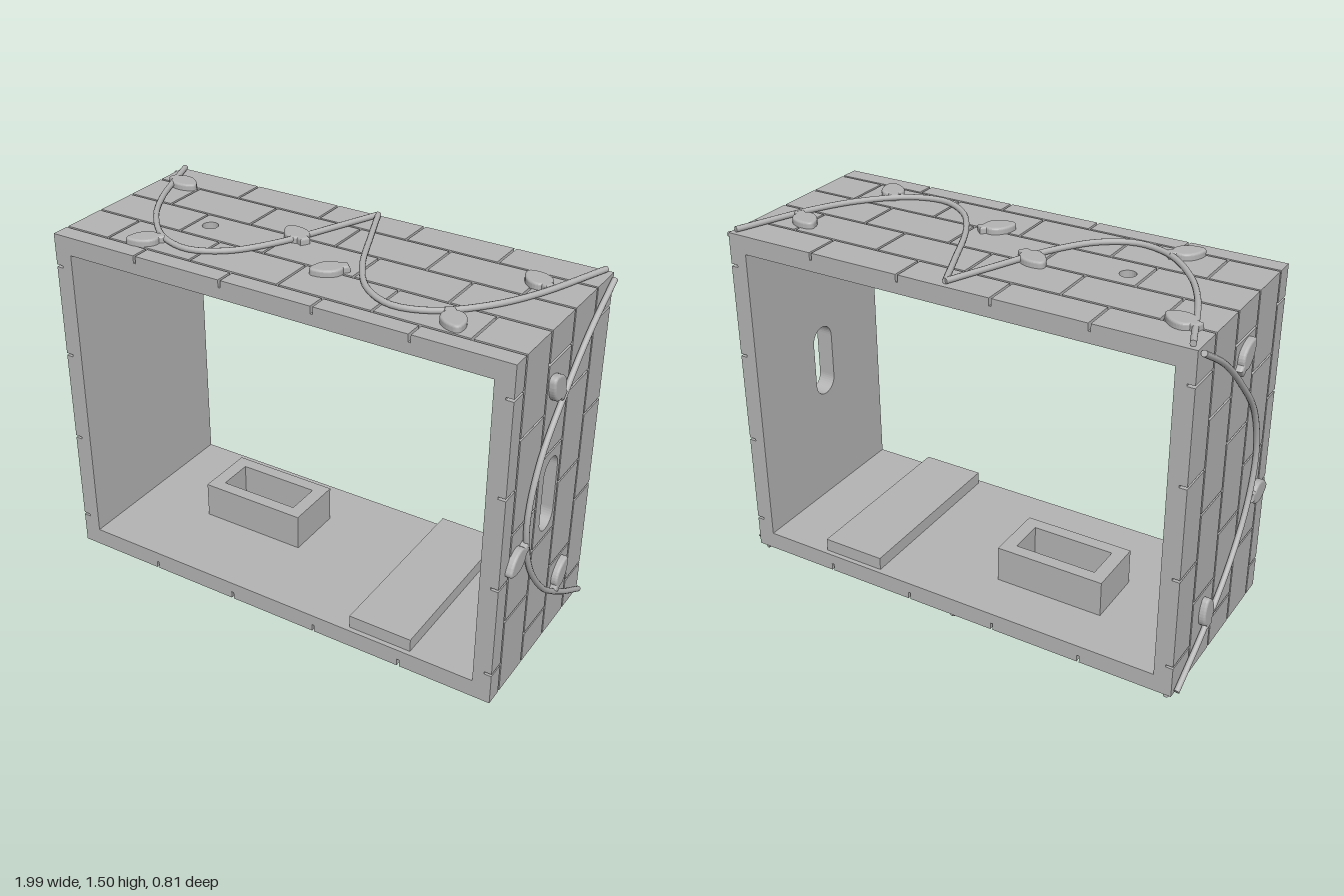
import * as THREE from 'three';

const stone = new THREE.MeshStandardMaterial({ color: 0xb4b4b4 });
stone.name = 'plain grey';

const W = 0.97, D = 0.405, Y0 = 0.035, Y1 = 1.47; // outer shell
const GROOVE = 0.03, WALL = 0.075, GAP = 0.005;
const ROWS = [-D, -0.256, -0.063, 0.13, 0.327, D]; // brick courses across the depth

function add(parent, geometry, name) {
  const mesh = new THREE.Mesh(geometry, stone);
  mesh.name = name;
  parent.add(mesh);
  return mesh;
}

function rect(Type, u0, u1, v0, v1) {
  return new Type([[u0, v0], [u1, v0], [u1, v1], [u0, v1]].map(p => new THREE.Vector2(...p)));
}

function disc(Type, u, v, r) {
  const s = new Type();
  s.absarc(u, v, r, 0, Math.PI * 2, false);
  return s;
}

// Extrude a shape from depth w0 to w1 along the face's outward direction
function extrude(parent, shape, w0, w1, name, curveSegments = 16) {
  const g = new THREE.ExtrudeGeometry(shape, { depth: w1 - w0, bevelEnabled: false, curveSegments });
  g.translate(0, 0, w0);
  return add(parent, g, name);
}

// Block given by its extent along the wall (a), across the depth (z) and outward (w)
function block(face, a0, a1, z0, z1, w0, w1, name, hole) {
  const [pu, pv] = face.map(a0, z0), [qu, qv] = face.map(a1, z1);
  const u0 = Math.min(pu, qu), u1 = Math.max(pu, qu), v0 = Math.min(pv, qv), v1 = Math.max(pv, qv);
  const shape = rect(THREE.Shape, u0, u1, v0, v1);
  if (hole) shape.holes.push(hole);
  extrude(face.group, shape, w0, w1, name, 10);
}

// Same block with a rectangular opening [a0, a1, z0, z1] cut away
function cutBlock(face, a0, a1, z0, z1, w0, w1, name, c) {
  if (!c || c[0] >= a1 || c[1] <= a0 || c[2] >= z1 || c[3] <= z0) {
    return block(face, a0, a1, z0, z1, w0, w1, name);
  }
  const m0 = Math.max(a0, c[0]), m1 = Math.min(a1, c[1]);
  const pieces = [[a0, m0, z0, z1], [m1, a1, z0, z1], [m0, m1, z0, c[2]], [m0, m1, c[3], z1]];
  for (const p of pieces) {
    if (p[1] - p[0] > 1e-4 && p[3] - p[2] > 1e-4) block(face, ...p, w0, w1, name);
  }
}

// Wall core plus staggered bricks separated by grooves
function buildWall(face, core, span, joints, { cut, hole, holeAt } = {}) {
  if (hole) block(face, ...core, -D, D, -WALL, -GROOVE, 'wallCore', hole);
  else cutBlock(face, ...core, -D, D, -WALL, -GROOVE, 'wallCore', cut);
  for (let r = 0; r < 5; r++) {
    const z0 = ROWS[r] + (r > 0 ? GAP : 0), z1 = ROWS[r + 1] - (r < 4 ? GAP : 0);
    const stops = [span[0], ...joints[r % 2], span[1]];
    for (let i = 0; i < stops.length - 1; i++) {
      const a0 = stops[i] + (i > 0 ? GAP : 0);
      const a1 = stops[i + 1] - (i < stops.length - 2 ? GAP : 0);
      const pierced = holeAt && holeAt[0] > a0 && holeAt[0] < a1 && holeAt[1] > z0 && holeAt[1] < z1;
      if (pierced) block(face, a0, a1, z0, z1, -GROOVE, 0, 'brick', hole);
      else cutBlock(face, a0, a1, z0, z1, -GROOVE, 0, 'brick', cut);
    }
  }
}

// Hanging cord through [along, z] points
function addCord(face, points) {
  const pts = points.map(([a, z]) => new THREE.Vector3(...face.map(a, z), 0.013));
  const curve = new THREE.CatmullRomCurve3(pts);
  add(face.group, new THREE.TubeGeometry(curve, 48, 0.012, 10), 'cord');
  // Flat cord ends
  for (const t of [0, 1]) {
    const cap = add(face.group, new THREE.CircleGeometry(0.012, 10), 'cordEnd');
    const dir = curve.getTangent(t).multiplyScalar(t ? 1 : -1);
    cap.position.copy(pts[t ? pts.length - 1 : 0]);
    cap.quaternion.setFromUnitVectors(new THREE.Vector3(0, 0, 1), dir);
  }
}

// Light bulb outline: short neck, full body, rounded tip
const bulbShape = new THREE.Shape();
bulbShape.moveTo(-0.075, -0.02);
bulbShape.lineTo(-0.05, -0.022);
bulbShape.bezierCurveTo(-0.03, -0.06, 0.03, -0.05, 0.062, -0.018);
bulbShape.bezierCurveTo(0.075, -0.008, 0.075, 0.008, 0.062, 0.018);
bulbShape.bezierCurveTo(0.03, 0.05, -0.03, 0.06, -0.05, 0.022);
bulbShape.lineTo(-0.075, 0.02);
const bulbGeometry = new THREE.ExtrudeGeometry(bulbShape, {
  depth: 0.017, bevelThickness: 0.009, bevelSize: 0.009, bevelOffset: -0.009, bevelSegments: 4, curveSegments: 10,
});

// Bulb at [along, z] with its tip pointing in direction [da, dz]
function addBulbs(face, bulbs) {
  for (const [a, z, da, dz] of bulbs) {
    const bulb = add(face.group, bulbGeometry, 'bulb');
    const [u, v] = face.map(a, z), [du, dv] = face.map(da, dz);
    bulb.position.set(u, v, 0);
    bulb.rotation.z = Math.atan2(dv, du);
  }
}

export function createModel() {
  const model = new THREE.Group();
  model.name = 'brickFrame';

  const makeFace = (name, position, rx, ry, map) => {
    const group = new THREE.Group();
    group.name = name;
    group.position.set(...position);
    group.rotation.set(rx, ry, 0);
    model.add(group);
    return { group, map };
  };
  const q = Math.PI / 2;
  const top = makeFace('roof', [0, Y1, 0], -q, 0, (a, z) => [a, -z]);
  const bottom = makeFace('floor', [0, Y0, 0], q, 0, (a, z) => [a, z]);
  const left = makeFace('leftWall', [W, 0, 0], 0, q, (a, z) => [-z, a]);
  const right = makeFace('rightWall', [-W, 0, 0], 0, -q, (a, z) => [z, a]);

  // Openings: lamp hole, floor hatch, rounded wall slot
  const lampHole = disc(THREE.Path, -0.51, -0.025, 0.032);
  const hatch = [-0.508, -0.157, -0.143, 0.008];
  const slot = new THREE.Path();
  slot.absarc(-0.02, 0.85, 0.06, 0, Math.PI, false);
  slot.absarc(-0.02, 0.655, 0.06, Math.PI, Math.PI * 2, false);

  // Brick walls
  const wide = [[-0.58, -0.195, 0.195, 0.58], [-0.77, -0.387, 0, 0.387, 0.77]];
  const tall = [[0.17, 0.56, 0.948, 1.337], [0.365, 0.754, 1.143]];
  const coreX = [-W + GROOVE, W - GROOVE], coreY = [Y0 + WALL, Y1 - WALL];
  const sideSpan = [Y0 + GROOVE, Y1 - GROOVE];
  buildWall(top, coreX, [-W, W], wide, { hole: lampHole, holeAt: [-0.51, 0.025] });
  buildWall(bottom, coreX, [-W, W], wide, { cut: hatch });
  buildWall(left, coreY, sideSpan, tall, { hole: slot, holeAt: [0.753, 0.02] });
  buildWall(right, coreY, sideSpan, tall);

  // Ceiling lamp ring
  const ring = disc(THREE.Shape, -0.51, -0.025, 0.118);
  ring.holes.push(disc(THREE.Path, -0.51, -0.025, 0.06));
  extrude(top.group, ring, -0.155, -WALL, 'lampRing', 32);

  // Open box and low platform on the floor
  cutBlock(bottom, -0.565, -0.1, -0.195, 0.06, -0.23, -WALL, 'openBox', hatch);
  block(bottom, 0.35, 0.62, -0.385, 0.385, -0.13, -WALL, 'platform');

  // Pierced plates under the hatch ends
  for (const x of [-0.567, -0.102]) {
    block(bottom, x - 0.0925, x + 0.0925, -0.165, 0.01, 0, Y0, 'hatchPlate', disc(THREE.Path, x, -0.078, 0.05));
  }

  // Cords
  const swag = [[0, -0.385], [0.075, -0.205], [0.19, 0.055], [0.3, 0.205], [0.43, 0.27],
    [0.57, 0.235], [0.715, 0.1], [0.82, -0.07], [0.945, -0.39]];
  for (const face of [top, bottom]) {
    for (const s of [1, -1]) addCord(face, swag.map(([a, z]) => [s * a, z]));
  }
  const drop = [[1.455, -0.385], [1.33, -0.19], [1.17, -0.01], [0.97, 0.165], [0.755, 0.23],
    [0.54, 0.18], [0.33, 0.025], [0.18, -0.17], [0.05, -0.385]];
  for (const face of [left, right]) addCord(face, drop);

  // Bulbs
  addBulbs(top, [[-0.845, -0.25, 1, 0.3], [-0.625, 0.28, -1, 0.9], [-0.165, -0.055, -1, -0.6],
    [0.1, 0.14, -1, 1], [0.665, 0.255, 0.8, 1], [0.78, -0.175, -1, -0.65]]);
  addBulbs(bottom, [[0.765, 0.17, 0.82, 0.57], [0.237, 0.06, 0.95, -0.3],
    [-0.136, 0.196, 0.82, 0.57], [-0.767, 0.11, -0.81, 0.58]]);
  addBulbs(left, [[1.226, 0.063, 1, 0.9], [0.625, 0.29, -0.4, 1], [0.285, -0.15, 1, -0.7]]);
  addBulbs(right, [[1.27, 0.02, 0.65, 0.75], [0.56, 0.29, -0.1, 1], [0.26, -0.145, 1, -0.2]]);

  return model;
}
